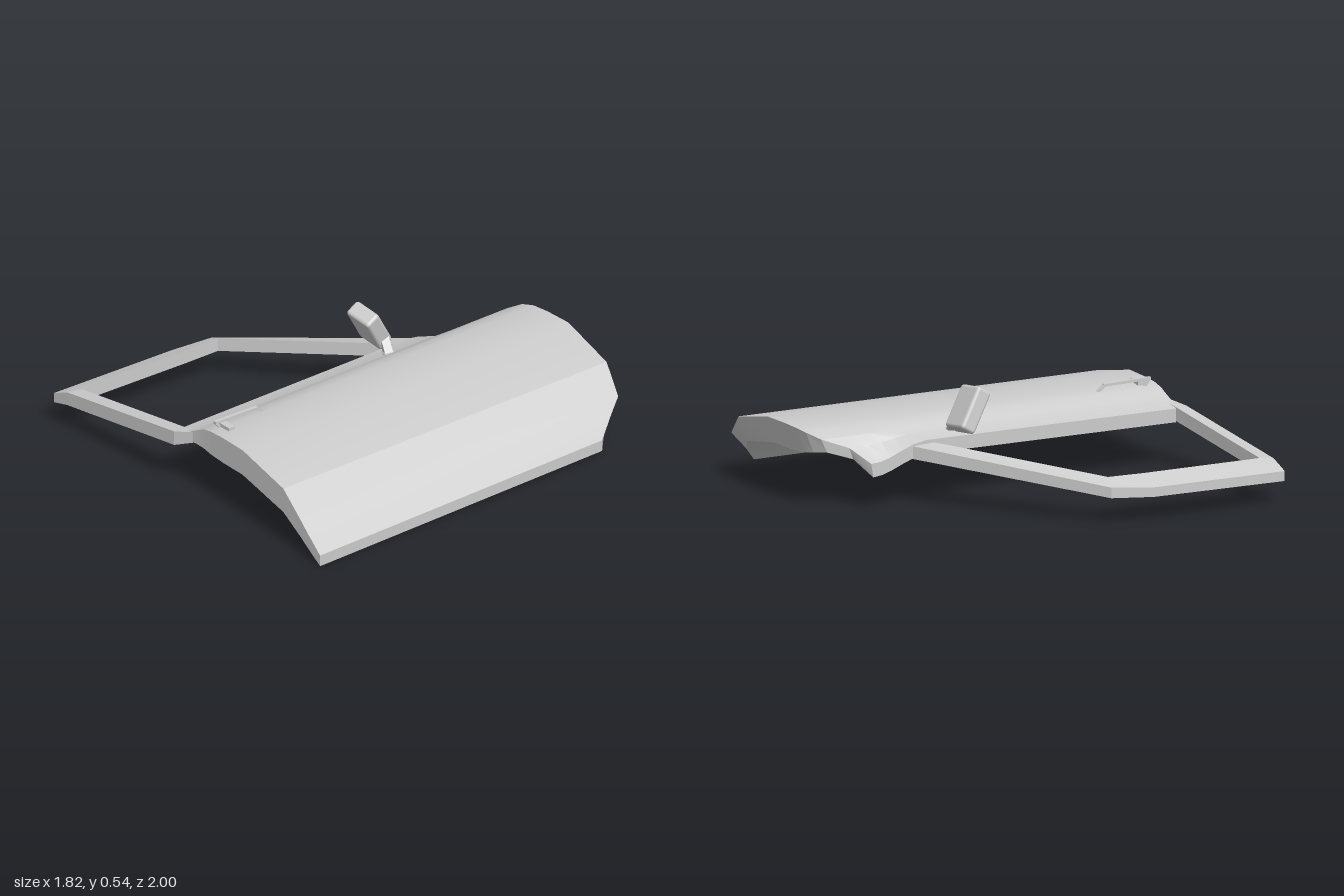
import * as THREE from 'three';
import { toCreasedNormals } from 'three/addons/utils/BufferGeometryUtils.js';
import { RoundedBoxGeometry } from 'three/addons/geometries/RoundedBoxGeometry.js';

const paint = new THREE.MeshStandardMaterial({ color: 0xcccccc });
paint.name = 'pale grey';

// Skin a row of closed rings (top points, then bottom points back) and cap both ends.
function loft(rings, crease) {
  const pos = [];
  const quad = (a, b, c, d) => pos.push(...a, ...b, ...c, ...a, ...c, ...d);
  const n = rings[0].length;
  for (let i = 0; i + 1 < rings.length; i++) {
    for (let j = 0; j < n; j++) {
      const k = (j + 1) % n;
      quad(rings[i][j], rings[i][k], rings[i + 1][k], rings[i + 1][j]);
    }
  }
  const first = rings[0], last = rings[rings.length - 1];
  for (let j = 0; j < n / 2 - 1; j++) {
    quad(last[j], last[j + 1], last[n - 2 - j], last[n - 1 - j]);
    quad(first[n - 1 - j], first[n - 2 - j], first[j + 1], first[j]);
  }
  const g = new THREE.BufferGeometry();
  g.setAttribute('position', new THREE.Float32BufferAttribute(pos, 3));
  return toCreasedNormals(g, crease);
}

function add(parent, geometry, name) {
  const mesh = new THREE.Mesh(geometry, paint);
  mesh.name = name;
  parent.add(mesh);
  return mesh;
}

// Square bar between two points.
function bar(parent, from, to, width, depth, name) {
  const a = new THREE.Vector3(...from), b = new THREE.Vector3(...to);
  const mesh = add(parent, new THREE.BoxGeometry(width, depth, a.distanceTo(b)), name);
  mesh.position.copy(a).lerp(b, 0.5);
  mesh.lookAt(b);
  return mesh;
}

function doorPanel() {
  // x, front z, rear z, top y, bottom y, set-back of the lower front edge, dip of the hinge corner
  const columns = [
    [-0.11, -0.71, 0.88, 0.28, 0.215, 0.01, 0.08],
    [-0.03, -0.78, 0.9, 0.3, 0.245, 0.02, 0.035],
    [0.0, -0.91, 0.895, 0.315, 0.25, 0.03, 0],
    [0.05, -0.96, 0.89, 0.342, 0.245, 0.035, 0],
    [0.11, -0.98, 0.89, 0.354, 0.235, 0.035, 0],
    [0.2, -0.99, 0.89, 0.358, 0.23, 0.035, 0],
    [0.34, -1.0, 0.89, 0.357, 0.23, 0.035, 0],
    [0.64, -0.985, 0.89, 0.286, 0.165, 0.045, 0],
    [0.77, -0.95, 0.89, 0.175, 0.088, 0.08, 0],
    [0.82, -0.87, 0.89, 0.13, 0.055, 0.04, 0],
    [0.91, -0.77, 0.89, 0.055, 0.0, 0.0, 0],
  ];
  const steps = [0, 0.03, 0.06, 0.1, 0.14, 0.18, 0.5, 1];
  const rings = columns.map(([x, zf, zr, top, bottom, back, dip]) => {
    const point = (t, y, inset) => {
      const z = THREE.MathUtils.lerp(zf + inset, zr, t);
      const sag = dip * (1 - THREE.MathUtils.smoothstep(z, -0.7, -0.42));
      return [x > 0.9 ? x - 0.03 * (1 - t) : x, y + 0.024 * (1 - t) - sag, z];
    };
    return [
      ...steps.map((t) => point(t, top, 0)),
      ...steps.slice().reverse().map((t) => point(t, bottom, back)),
    ];
  });
  return loft(rings, 0.42);
}

function windowFrame() {
  // outer x, z, y; inner x, z, y; thickness at the outer edge
  const path = [
    [-0.06, -0.53, 0.285, -0.06, -0.42, 0.29, 0.06],
    [-0.1, -0.5, 0.28, -0.1, -0.39, 0.285, 0.06],
    [-0.85, 0.13, 0.175, -0.78, 0.15, 0.207, 0.05],
    [-0.89, 0.33, 0.16, -0.785, 0.33, 0.203, 0.045],
    [-0.91, 1.0, 0.155, -0.8, 0.93, 0.2, 0.047],
    [-0.82, 0.993, 0.195, -0.78, 0.928, 0.203, 0.066],
    [-0.1, 0.94, 0.283, -0.1, 0.88, 0.286, 0.07],
    [-0.02, 0.9, 0.3, -0.02, 0.86, 0.3, 0.055],
  ];
  return loft(path.map(([ox, oz, oy, ix, iz, iy, h]) => [
    [ix, iy, iz], [ox, oy, oz], [ox, oy - h, oz], [ix, iy - 0.065, iz],
  ]), 0.3);
}

export function createModel() {
  const door = new THREE.Group();
  door.name = 'vehicleDoor';
  add(door, doorPanel(), 'doorPanel');
  add(door, windowFrame(), 'windowFrame');

  // Wing mirror on a short arm
  const mirror = new THREE.Group();
  mirror.name = 'wingMirror';
  const housing = add(mirror, new RoundedBoxGeometry(0.15, 0.212, 0.08, 3, 0.016), 'mirrorHousing');
  housing.position.set(-0.136, 0.425, -0.22);
  housing.rotation.set(0.55, 0, -0.15);
  bar(mirror, [-0.1, 0.385, -0.27], [-0.03, 0.305, -0.25], 0.04, 0.025, 'mirrorArm');
  bar(mirror, [-0.045, 0.305, -0.25], [-0.005, 0.305, -0.25], 0.05, 0.03, 'mirrorFoot');
  door.add(mirror);

  // Pull handle with a lock boss
  const handle = new THREE.Group();
  handle.name = 'doorHandle';
  bar(handle, [0.09, 0.345, 0.572], [0.09, 0.378, 0.615], 0.018, 0.012, 'handleFrontLeg');
  bar(handle, [0.09, 0.378, 0.61], [0.09, 0.381, 0.855], 0.018, 0.012, 'handleGrip');
  bar(handle, [0.09, 0.345, 0.82], [0.09, 0.378, 0.848], 0.018, 0.014, 'handleRearLeg');
  bar(handle, [0.09, 0.362, 0.81], [0.16, 0.362, 0.81], 0.035, 0.02, 'lockBoss');
  door.add(handle);

  return door;
}
